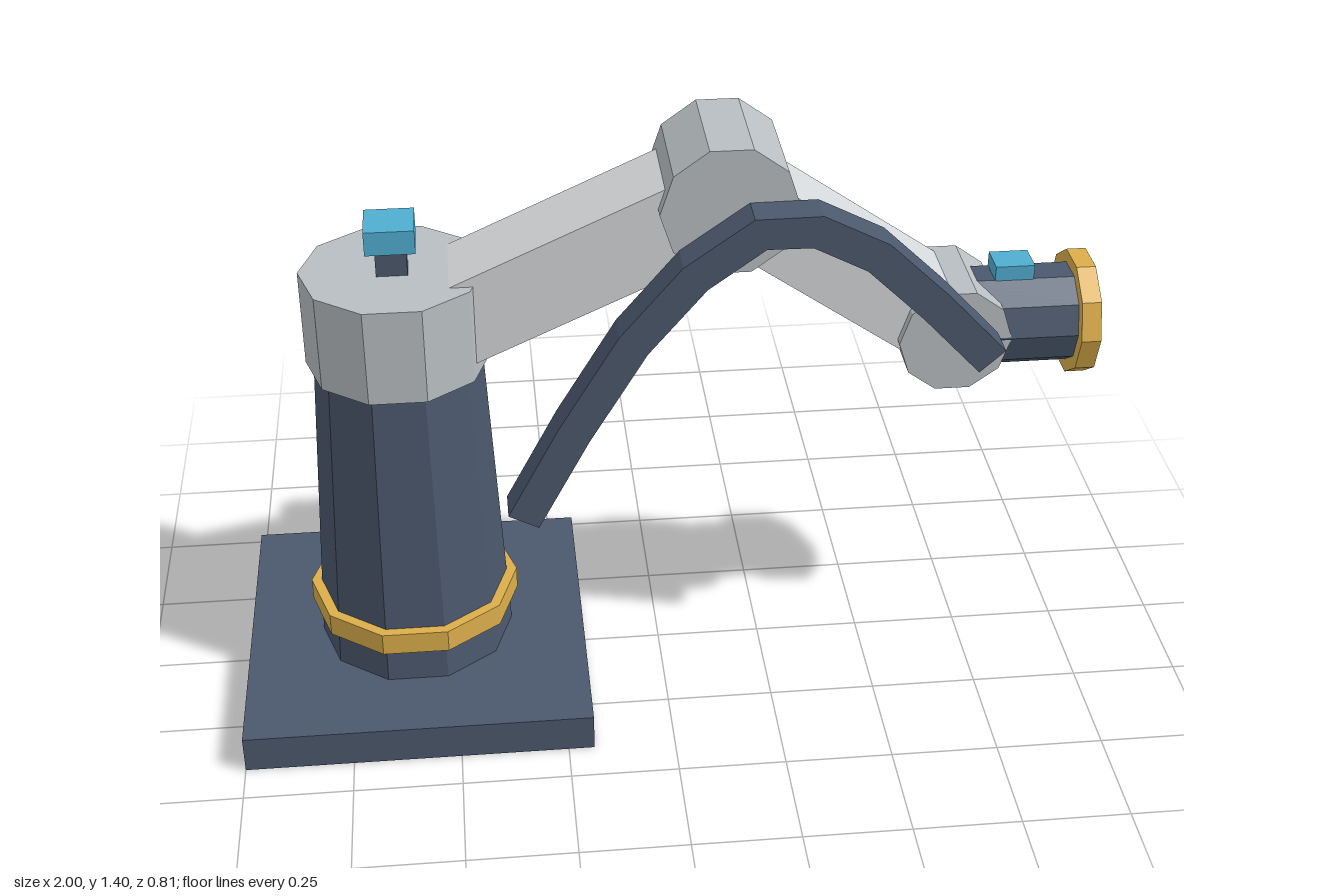
import * as THREE from 'three';

const paint = (color) => new THREE.MeshStandardMaterial({ color, flatShading: true });

export function createModel() {
  const group = new THREE.Group();
  const navy = paint(0x4b586d), joint = paint(0xb8bec2), shell = paint(0xd4d7d9);
  const gold = paint(0xdbae4b), cyan = paint(0x50aed0);
  const SIDES = 10;
  const baseX = -0.595;
  const elbowAt = [0.145, 1.25], wristAt = [0.67, 0.885];

  const add = (name, geometry, material, x, y, z = 0) => {
    const mesh = new THREE.Mesh(geometry, material);
    mesh.name = name;
    mesh.position.set(x, y, z);
    group.add(mesh);
    return mesh;
  };
  const box = (name, material, w, h, d, x, y, z) =>
    add(name, new THREE.BoxGeometry(w, h, d), material, x, y, z);
  // Ten-sided drum with corners on the x axis
  const drum = (rTop, rBottom, h) =>
    new THREE.CylinderGeometry(rTop, rBottom, h, SIDES).rotateY(Math.PI / 2);
  // Box beam spanning two points in the xy plane
  const beam = (name, [x0, y0], [x1, y1], thickness, depth) => {
    const mesh = box(name, shell, Math.hypot(x1 - x0, y1 - y0), thickness, depth, (x0 + x1) / 2, (y0 + y1) / 2);
    mesh.rotation.z = Math.atan2(y1 - y0, x1 - x0);
  };

  // Pedestal
  box('basePlate', navy, 0.81, 0.09, 0.81, baseX, 0.045);
  add('column', drum(0.192, 0.231, 0.77), navy, baseX, 0.47);
  add('columnRing', drum(0.248, 0.248, 0.055), gold, baseX, 0.208);
  add('shoulder', drum(0.21, 0.21, 0.23), joint, baseX, 0.965);
  box('beaconPost', navy, 0.07, 0.08, 0.07, baseX, 1.11);
  box('beaconCap', cyan, 0.112, 0.057, 0.112, baseX, 1.172);

  // Arm
  beam('upperArm', [-0.52, 0.948], elbowAt, 0.2, 0.205);
  beam('forearm', elbowAt, wristAt, 0.185, 0.185);
  add('elbow', drum(0.155, 0.155, 0.268).rotateX(Math.PI / 2), joint, ...elbowAt);
  add('wrist', drum(0.13, 0.13, 0.23).rotateX(Math.PI / 2), joint, ...wristAt);

  // Tool head
  const hand = new THREE.CylinderGeometry(0.116, 0.116, 0.27, SIDES).rotateZ(-Math.PI / 2);
  add('toolBody', hand, navy, 0.83, wristAt[1]);
  box('toolButton', cyan, 0.09, 0.05, 0.075, 0.815, 1.005);

  // Flange ring with an open centre
  const corners = (r) => Array.from({ length: SIDES }, (_, i) => {
    const a = (i / SIDES) * Math.PI * 2;
    return new THREE.Vector2(r * Math.cos(a), r * Math.sin(a));
  });
  const ring = new THREE.Shape(corners(0.146));
  ring.holes.push(new THREE.Path(corners(0.102)));
  const ringGeo = new THREE.ExtrudeGeometry(ring, { depth: 0.045, bevelEnabled: false }).rotateY(Math.PI / 2);
  add('toolFlange', ringGeo, gold, 0.955, wristAt[1]);

  // Square cable duct: offset a centre line to both sides, then extrude
  const line = [[-0.33, 0.522], [-0.21, 0.75], [-0.075, 0.975], [0.06, 1.135], [0.2, 1.235],
    [0.325, 1.235], [0.46, 1.165], [0.595, 1.035], [0.732, 0.888]].map((p) => new THREE.Vector2(...p));
  const side = (offset) => line.map((p, i) => {
    const t = line[Math.min(i + 1, line.length - 1)].clone().sub(line[Math.max(i - 1, 0)]).normalize();
    return new THREE.Vector2(p.x - t.y * offset, p.y + t.x * offset);
  });
  const duct = new THREE.Shape([...side(-0.039), ...side(0.039).reverse()]);
  add('cableDuct', new THREE.ExtrudeGeometry(duct, { depth: 0.082, bevelEnabled: false }), navy, 0, 0, 0.133);

  return group;
}
